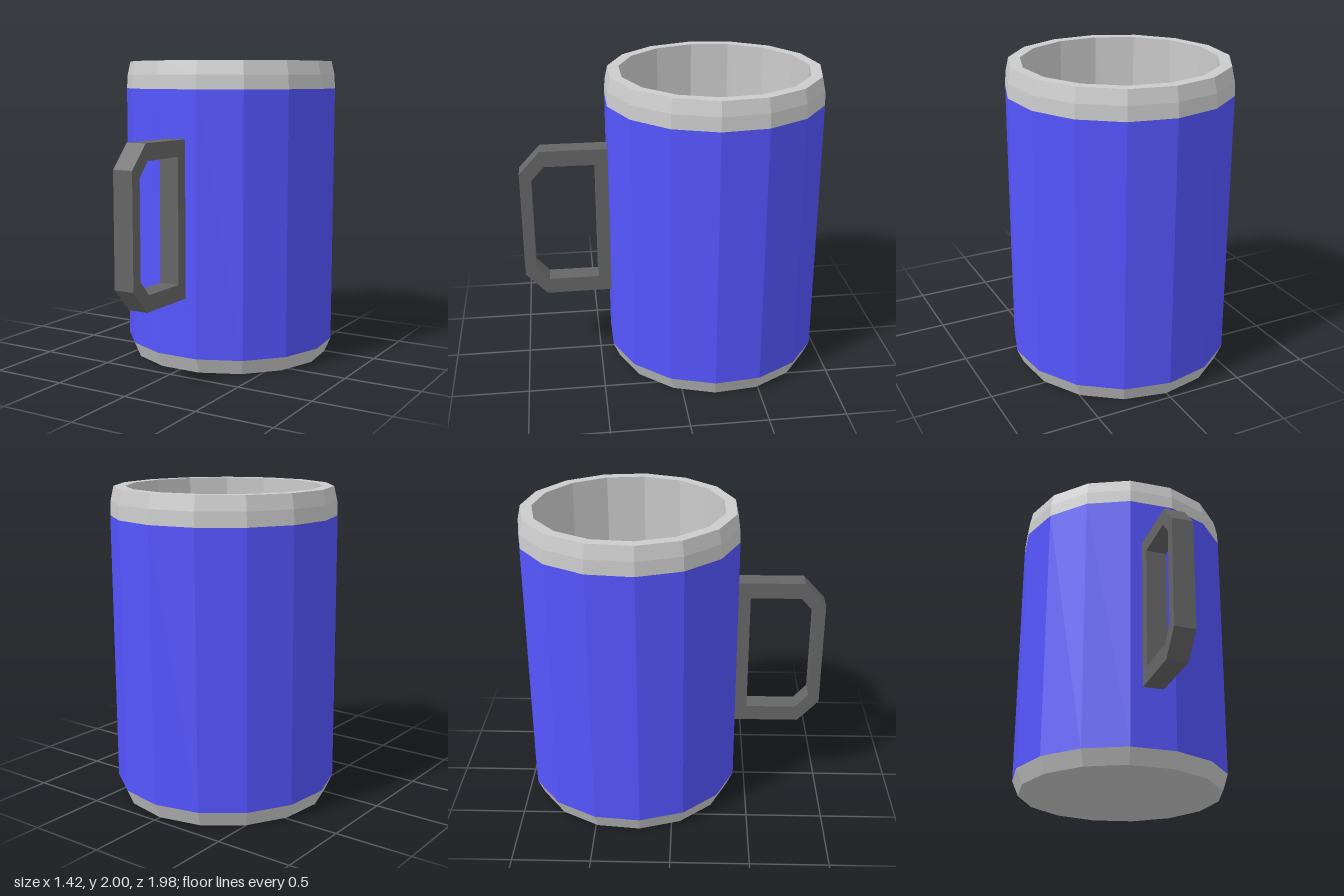
import * as THREE from 'three';

const SIDES = 15;
const CENTER_Z = -0.28;
const R = 0.713; // outer radius of the body

function material(color) {
  return new THREE.MeshStandardMaterial({ color, flatShading: true });
}

// Faceted ring or wall turned from [radius, y] points, one corner at the back
function turned(name, profile, mat) {
  const points = profile.map(([r, y]) => new THREE.Vector2(r, y));
  const mesh = new THREE.Mesh(new THREE.LatheGeometry(points, SIDES, Math.PI), mat);
  mesh.name = name;
  mesh.position.z = CENTER_Z;
  return mesh;
}

// Six-cornered D outline, symmetric about y = 1, as [z, y] points
function dOutline(inner, corner, outer, half, cornerHalf) {
  return [
    [inner, 1 - half], [corner, 1 - half], [outer, 1 - cornerHalf],
    [outer, 1 + cornerHalf], [corner, 1 + half], [inner, 1 + half],
  ].map(([z, y]) => new THREE.Vector2(z, y));
}

export function createModel() {
  const group = new THREE.Group();
  group.name = 'mug';
  const grey = material(0xcccccc);
  const blue = material(0x5555ff);
  const dark = material(0x666666);

  // Base with chamfered edge
  group.add(turned('base', [[0, 0], [0.67, 0], [R, 0.1]], grey));

  // Coloured outer wall
  group.add(turned('body', [[R, 0.1], [R, 1.82]], blue));

  // Rounded rim, flat lip, inner wall and floor
  group.add(turned('rim', [[R, 1.82], [0.708, 1.91], [0.688, 2], [0.615, 2]], grey));
  group.add(turned('interior', [[0.615, 2], [0.615, 0.1], [0, 0.1]], grey));

  // Angular handle at the front
  const width = 0.136;
  const shape = new THREE.Shape(dOutline(0.4, 0.85, 0.99, 0.51, 0.36));
  shape.holes.push(new THREE.Path(dOutline(0.5, 0.83, 0.915, 0.405, 0.31).reverse()));
  const geometry = new THREE.ExtrudeGeometry(shape, { depth: width, bevelEnabled: false });
  geometry.translate(0, 0, -width / 2).rotateY(-Math.PI / 2);
  const handle = new THREE.Mesh(geometry, dark);
  handle.name = 'handle';
  group.add(handle);

  return group;
}
